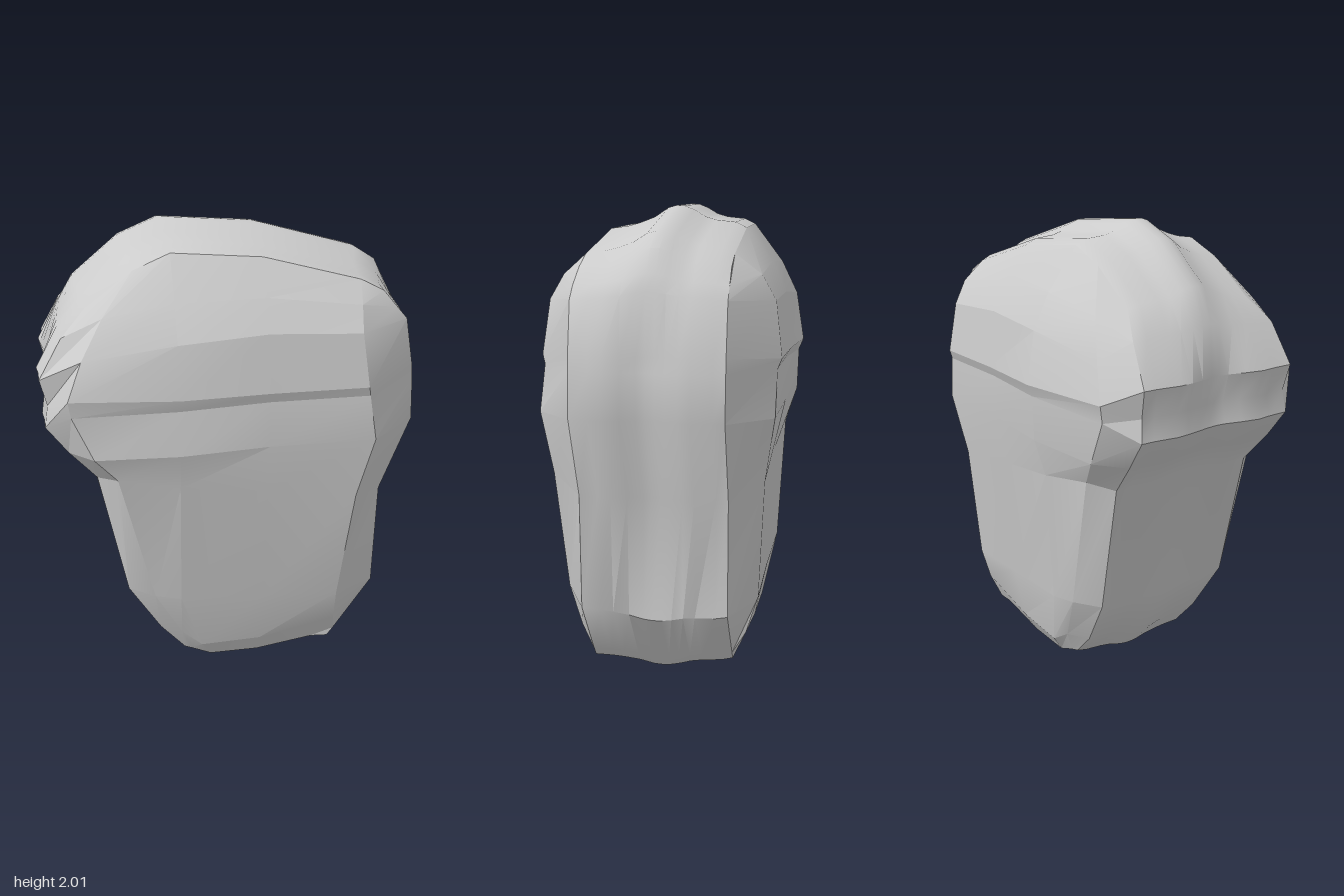
import * as THREE from 'three';
import { toCreasedNormals, mergeVertices } from 'three/addons/utils/BufferGeometryUtils.js';

// Each row: x and y of left rim, left inner, right inner, right rim;
// middle bulge in y; front depth, back depth, left rim depth
const ROWS = [
  { x: [-0.22, -0.19, 0.38, 0.46], y: [0.07, 0.065, 0.065, 0.06], sag: -0.04, f: 0.30, b: -0.30, l: 0.29 },
  { x: [-0.33, -0.24, 0.47, 0.49], y: [0.2, 0.2, 0.2, 0.1], sag: -0.07, f: 0.37, b: -0.37, l: 0.30 },
  { x: [-0.47, -0.36, 0.46, 0.66], y: [0.44, 0.44, 0.37, 0.355], sag: 0, f: 0.44, b: -0.43, l: 0.33 },
  { x: [-0.58, -0.50, 0.51, 0.665], y: [1.0, 1.03, 0.88, 0.83], sag: 0, f: 0.49, b: -0.46, l: 0.34 },
  { x: [-0.69, -0.59, 0.57, 0.79], y: [1.13, 1.14, 1.15, 1.16], sag: 0.01, f: 0.53, b: -0.51, l: 0.36 },
  { x: [-0.775, -0.67, 0.54, 0.78], y: [1.25, 1.32, 1.34, 1.34], sag: 0.01, f: 0.51, b: -0.515, l: 0.37 },
  { x: [-0.76, -0.68, 0.53, 0.775], y: [1.34, 1.39, 1.38, 1.40], sag: 0, f: 0.525, b: -0.535, l: 0.36 },
  { x: [-0.785, -0.62, 0.50, 0.735], y: [1.45, 1.54, 1.6, 1.61], sag: 0.04, f: 0.49, b: -0.50, l: 0.37 },
  { x: [-0.69, -0.53, 0.51, 0.69], y: [1.61, 1.69, 1.70, 1.66], sag: 0.05, f: 0.41, b: -0.43, l: 0.35 },
  { x: [-0.59, -0.40, 0.53, 0.63], y: [1.71, 1.85, 1.78, 1.73], sag: 0.075, f: 0.29, b: -0.30, l: 0.30 },
];

// Six points across one row of the front (side = 1) or back (side = -1)
function rowPoints({ x, y, sag, f, b, l }, side) {
  const depth = side > 0 ? f : -b;
  const rim = Math.min(depth, 0.3);
  const inner = rim + (depth - rim) * 0.8;
  const m1 = Math.max(-0.25, x[1] + 0.09);
  const mid = (px) => y[1] + (y[2] - y[1]) * (px - x[1]) / (x[2] - x[1]) + sag;
  // The underside sits a little higher towards the back
  const lift = (py) => (side > 0 ? 0 : 0.03 * (1 - THREE.MathUtils.smoothstep(py, 0.05, 0.35)));
  return [
    [x[0], y[0], Math.min(l, depth)], [x[1], y[1], inner],
    [m1, mid(m1), depth], [0.12, mid(0.12), rim + (depth - rim) * 0.86],
    [x[2], y[2], inner], [x[3], y[3], rim],
  ].map(([px, py, pz]) => new THREE.Vector3(px, py + lift(py), pz * side));
}

// Rim band layers from front to back: fraction of depth, crown swell, side wave
const LAYERS = [
  [0, 0, 0], [0.13, 0.01, 0.005], [0.22, 0.025, 0.014], [0.33, 0.05, 0], [0.43, 0.09, -0.018],
  [0.49, 0.1, -0.02], [0.55, 0.098, -0.015], [0.62, 0.08, -0.005], [0.7, 0.05, 0.005],
  [0.78, 0.035, 0.012], [0.92, 0.025, 0], [1, 0, 0],
];

function perimeter(grid) {
  const top = grid.length - 1;
  return [
    ...grid[0],
    ...grid.slice(1, top).map((r) => r[5]),
    ...[...grid[top]].reverse(),
    ...grid.slice(1, top).map((r) => r[0]).reverse(),
  ];
}

function surface(quads, crease) {
  const pos = [];
  for (const [a, b, c, d] of quads) {
    for (const p of [a, b, c, a, c, d]) pos.push(p.x, p.y, p.z);
  }
  const g = new THREE.BufferGeometry();
  g.setAttribute('position', new THREE.Float32BufferAttribute(pos, 3));
  return toCreasedNormals(mergeVertices(g, 1e-4), crease);
}

export function createModel() {
  const group = new THREE.Group();
  group.name = 'rock';
  const material = new THREE.MeshStandardMaterial({ color: 0xcccccc });
  const add = (name, quads, crease) => {
    const mesh = new THREE.Mesh(surface(quads, crease), material);
    mesh.name = name;
    group.add(mesh);
  };

  const front = ROWS.map((r) => rowPoints(r, 1));
  const back = ROWS.map((r) => rowPoints(r, -1));

  // Broad front and back faces
  for (const [name, grid, flip] of [['frontFace', front, false], ['backFace', back, true]]) {
    const quads = [];
    for (let r = 0; r < grid.length - 1; r++) {
      for (let c = 0; c < 5; c++) {
        const q = [grid[r][c], grid[r][c + 1], grid[r + 1][c + 1], grid[r + 1][c]];
        quads.push(flip ? q.reverse() : q);
      }
    }
    add(name, quads, 0.3);
  }

  // Wavy band joining both faces, swelling over the crown and under the base
  const pf = perimeter(front), pb = perimeter(back);
  const rings = LAYERS.map(([t, crown, wave]) => pf.map((p, i) => {
    const v = p.clone().lerp(pb[i], t);
    const up = THREE.MathUtils.smoothstep(v.y, 1.45, 1.8);
    const low = 1 - THREE.MathUtils.smoothstep(v.y, 0.3, 0.6);
    const out = new THREE.Vector3(v.x * 0.8, v.y - 1, 0).normalize();
    v.addScaledVector(out, crown * up * 0.95);
    v.x += Math.sign(v.x) * wave * (1 - low) * (1 - up);
    v.y -= crown * low * 0.4;
    return v;
  }));
  const band = [];
  for (let k = 0; k < rings.length - 1; k++) {
    for (let i = 0; i < pf.length; i++) {
      const j = (i + 1) % pf.length;
      band.push([rings[k][i], rings[k + 1][i], rings[k + 1][j], rings[k][j]]);
    }
  }
  add('rimBand', band, 0.6);
  return group;
}
